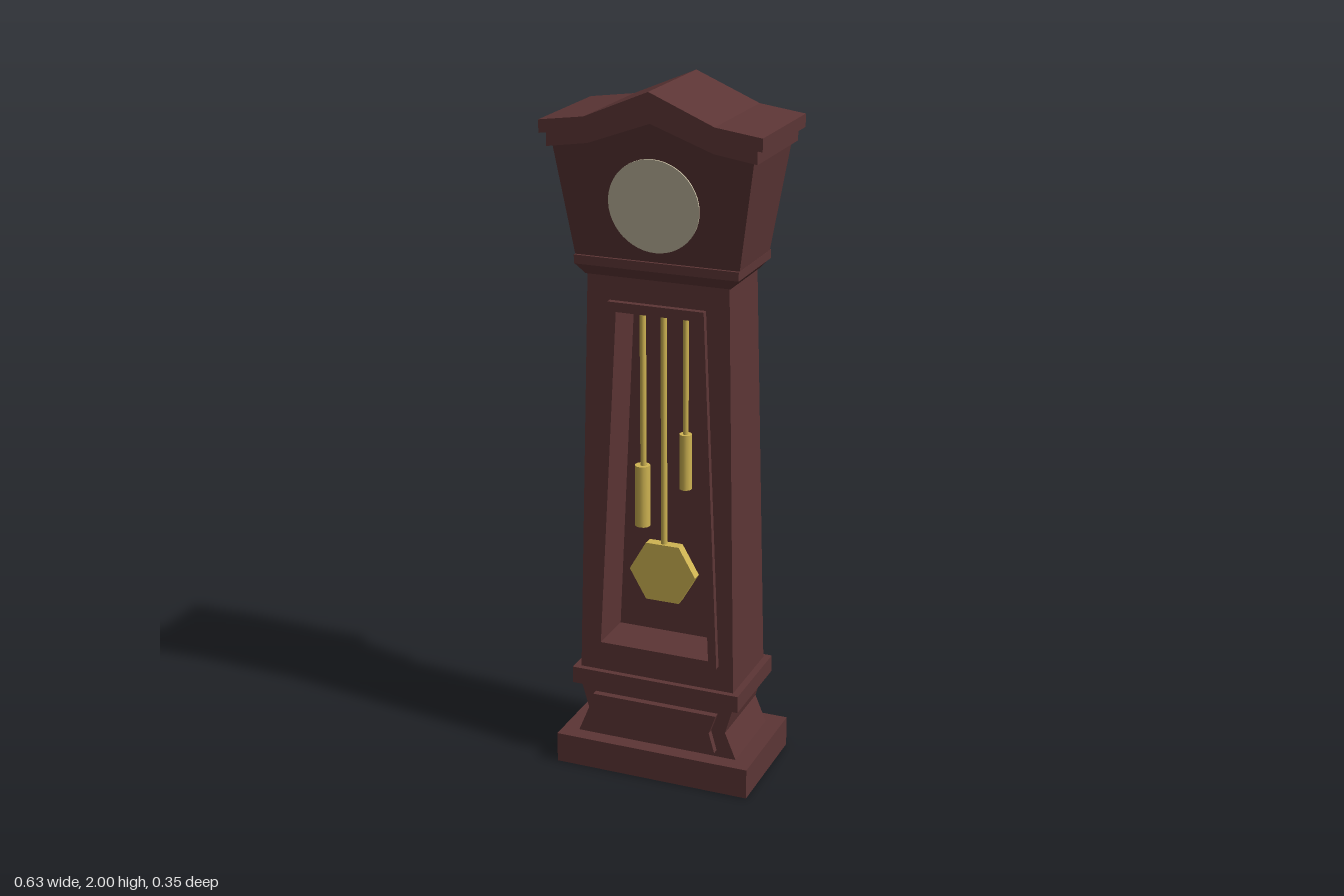
import * as THREE from 'three';

const wood = new THREE.MeshStandardMaterial({ color: 0x5c3535 });
wood.name = 'mahogany';
const brass = new THREE.MeshStandardMaterial({ color: 0xcfb452 });
brass.name = 'brass';
const ivory = new THREE.MeshStandardMaterial({ color: 0xcac1a6 });
ivory.name = 'ivory';

const lerp = THREE.MathUtils.lerp;
// half depth of the trunk and of the hood at a given height
const trunkZ = y => lerp(0.126, 0.108, (y - 0.3) / 1.18);
const hoodZ = y => lerp(0.117, 0.147, (y - 1.53) / 0.3);

function add(group, name, geometry, material = wood) {
  const mesh = new THREE.Mesh(geometry, material);
  mesh.name = name;
  group.add(mesh);
  return mesh;
}

// Replace every z by a rule of (y, z)
function moveZ(geometry, rule) {
  const p = geometry.attributes.position;
  for (let i = 0; i < p.count; i++) p.setZ(i, rule(p.getY(i), p.getZ(i)));
  geometry.computeVertexNormals();
  return geometry;
}

// Four-sided block between two heights, given half widths and half depths
function block(y0, w0, d0, y1, w1 = w0, d1 = d0) {
  const g = new THREE.BoxGeometry(2, 1, 2);
  const p = g.attributes.position;
  for (let i = 0; i < p.count; i++) {
    const top = p.getY(i) > 0;
    p.setXYZ(i, p.getX(i) * (top ? w1 : w0), top ? y1 : y0, p.getZ(i) * (top ? d1 : d0));
  }
  g.computeVertexNormals();
  return g;
}

// Right-hand outline, bottom to top, mirrored into a closed list of points
const mirrored = half => [
  ...half.map(([x, y]) => new THREE.Vector2(x, y)),
  ...half.filter(([x]) => x > 0).reverse().map(([x, y]) => new THREE.Vector2(-x, y)),
];

function slab(half, z0, z1, hole) {
  const shape = new THREE.Shape(mirrored(half));
  if (hole) shape.holes.push(new THREE.Path(mirrored(hole)));
  const g = new THREE.ExtrudeGeometry(shape, { depth: z1 - z0, bevelEnabled: false });
  return g.translate(0, 0, z0);
}

export function createModel() {
  const clock = new THREE.Group();
  clock.name = 'longcaseClock';

  // Base
  add(clock, 'plinth', block(0, 0.295, 0.173, 0.09));
  add(clock, 'pedestal', slab([[0.245, 0.09], [0.212, 0.17], [0.235, 0.25]], -0.127, 0.127));
  add(clock, 'pedestalPanel', slab([[0.187, 0.11], [0.17, 0.17], [0.19, 0.227]], 0.12, 0.147));
  add(clock, 'pedestalMoulding', block(0.25, 0.255, 0.143, 0.3));

  // Trunk: solid back half, and a front half with a window cut through
  const trunk = [[0.235, 0.3], [0.206, 1.48]];
  const opening = [[0.165, 0.395], [0.115, 1.385]];
  const taper = (y, z) => z * trunkZ(y);
  add(clock, 'trunkBack', moveZ(slab(trunk, -1, 0), taper));
  add(clock, 'trunkFront', moveZ(slab(trunk, 0, 1, opening), taper));
  add(clock, 'windowFrame', moveZ(
    slab([[0.19, 0.375], [0.14, 1.412]], -0.005, 0.018, opening),
    (y, z) => z + trunkZ(y)));

  // Pendulum and weights
  const works = new THREE.Group();
  works.name = 'pendulumAndWeights';
  works.position.z = 0.065;
  clock.add(works);
  const rod = (name, x, r, y0, y1) =>
    add(works, name, new THREE.CylinderGeometry(r, r, y1 - y0, 12), brass)
      .position.set(x, (y0 + y1) / 2, 0);
  rod('pendulumRod', 0, 0.009, 0.65, 1.39);
  rod('leftCord', 0.065, 0.008, 1.03, 1.39);
  rod('leftWeight', 0.065, 0.018, 0.875, 1.037);
  rod('rightCord', -0.062, 0.009, 0.92, 1.39);
  rod('rightWeight', -0.065, 0.022, 0.745, 0.927);
  const bobGeometry = new THREE.CylinderGeometry(0.1, 0.1, 0.03, 6).toNonIndexed();
  bobGeometry.computeVertexNormals();
  const bob = add(works, 'pendulumBob', bobGeometry.rotateY(Math.PI / 6).rotateX(Math.PI / 2), brass);
  bob.position.y = 0.612;
  // turn the hexagon so that flat edges lie at top and bottom
  bobGeometry.computeBoundingBox();
  const size = bobGeometry.boundingBox.getSize(new THREE.Vector3());
  if (size.y > size.x) bob.rotation.z = Math.PI / 6;

  // Collar under the hood
  add(clock, 'collarBevel', block(1.48, 0.21, 0.112, 1.508, 0.236, 0.125));
  add(clock, 'collar', block(1.508, 0.238, 0.126, 1.533));

  // Hood with a gabled top, leaning outward on all sides
  add(clock, 'hood', moveZ(
    slab([[0.237, 1.53], [0.285, 1.836], [0.178, 1.853], [0, 1.918]], -1, 1),
    (y, z) => z * hoodZ(y)));

  // Two stepped cornices following the gable
  add(clock, 'lowerCornice', slab(
    [[0, 1.915], [0.178, 1.85], [0.298, 1.832], [0.298, 1.872], [0.18, 1.888], [0, 1.963]], -0.159, 0.159));
  add(clock, 'upperCornice', slab(
    [[0, 1.961], [0.18, 1.886], [0.315, 1.868], [0.315, 1.904], [0.184, 1.922], [0, 2]], -0.169, 0.169));

  // Dial plate lying on the sloping hood front
  const dial = add(clock, 'dial', new THREE.CylinderGeometry(0.13, 0.13, 0.006, 48).rotateX(Math.PI / 2), ivory);
  dial.position.set(0, 1.69, hoodZ(1.69) + 0.001);
  dial.rotation.x = Math.atan(0.1);

  return clock;
}
